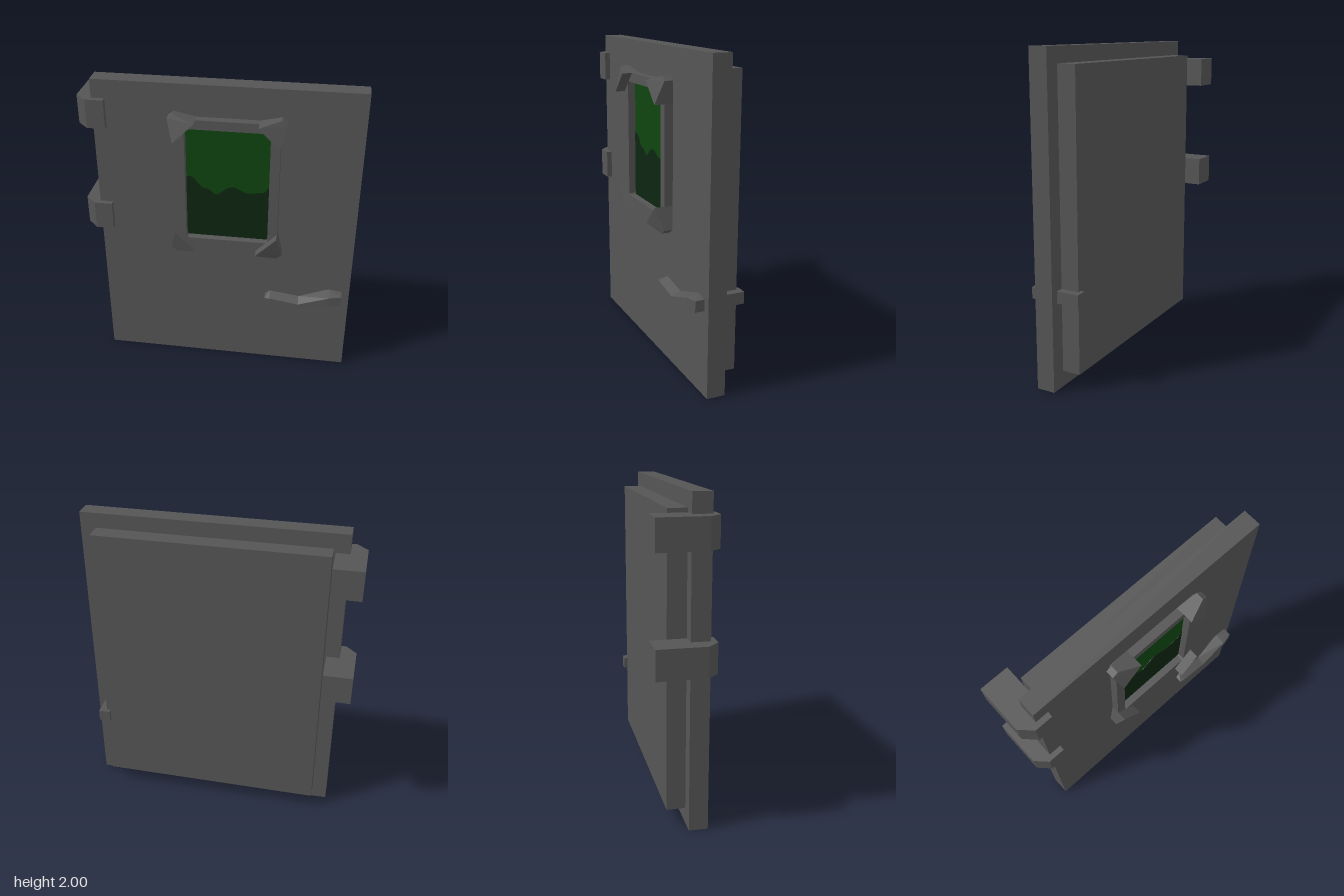
import * as THREE from 'three';
import { ConvexGeometry } from 'three/addons/geometries/ConvexGeometry.js';

export function createModel() {
  const model = new THREE.Group();
  model.name = 'door';
  const metal = new THREE.MeshStandardMaterial({ color: 0x555555 });
  const greenGlass = new THREE.MeshStandardMaterial({ color: 0x0f4510 });
  const darkLiquid = new THREE.MeshStandardMaterial({ color: 0x0d2510 });
  metal.name = 'greyMetal';
  greenGlass.name = 'greenGlass';
  darkLiquid.name = 'darkGreen';

  const add = (name, geometry, material = metal) => {
    const mesh = new THREE.Mesh(geometry, material);
    mesh.name = name;
    model.add(mesh);
    return mesh;
  };
  // Box given by its limits on each axis
  const box = (name, x0, x1, y0, y1, z0, z1, material) =>
    add(name, new THREE.BoxGeometry(x1 - x0, y1 - y0, z1 - z0)
      .translate((x0 + x1) / 2, (y0 + y1) / 2, (z0 + z1) / 2), material);

  // Door leaf, inner panel and latch
  box('doorLeaf', -0.77, 0.87, 0, 2, -0.008, 0.109);
  box('innerPanel', -0.675, 0.772, 0.1, 1.905, -0.124, -0.008);
  box('latch', 0.745, 0.82, 0.54, 0.615, -0.15, -0.008);

  // Hinges with one chamfered front edge (profile in x, z; extruded upwards)
  const profile = [[-0.87, -0.228], [-0.687, -0.228], [-0.687, 0.143], [-0.8, 0.143], [-0.87, 0.072]];
  const hingeShape = new THREE.Shape(profile.map(([x, z]) => new THREE.Vector2(x, -z)));
  for (const [name, y] of [['lowerHinge', 0.99], ['upperHinge', 1.697]]) {
    const geo = new THREE.ExtrudeGeometry(hingeShape, { depth: 0.184, bevelEnabled: false });
    add(name, geo.rotateX(-Math.PI / 2).translate(0, y, 0));
  }

  // Window frame: four bars around the centre
  const cx = 0.06, cy = 1.36;
  const frame = new THREE.Shape([[-0.32, -0.44], [0.32, -0.44], [0.32, 0.44], [-0.32, 0.44]]
    .map(([x, y]) => new THREE.Vector2(cx + x, cy + y)));
  frame.holes.push(new THREE.Path([[-0.26, -0.38], [-0.26, 0.38], [0.26, 0.38], [0.26, -0.38]]
    .map(([x, y]) => new THREE.Vector2(cx + x, cy + y))));
  add('windowFrame', new THREE.ExtrudeGeometry(frame, { depth: 0.054, bevelEnabled: false })
    .translate(0, 0, 0.109));

  // Faceted corner guards, mirrored to the four corners
  const guard = [
    [0.19, 0.44, 0.109], [0.19, 0.44, 0.228], [0.32, 0.31, 0.109], [0.32, 0.31, 0.228],
    [0.357, 0.45, 0.127], [0.357, 0.45, 0.18], [0.322, 0.477, 0.127], [0.322, 0.477, 0.18],
  ];
  for (const sx of [-1, 1]) for (const sy of [-1, 1]) {
    add('cornerGuard', new ConvexGeometry(guard.map(([x, y, z]) =>
      new THREE.Vector3(cx + sx * x, cy + sy * y, z))));
  }

  // Glass pane and the wavy dark area in front of it
  box('windowGlass', -0.2, 0.32, 0.98, 1.74, 0.109, 0.114, greenGlass);
  const wave = [[0.32, 1.37], [0.29, 1.325], [0.25, 1.315], [0.18, 1.308], [0.1, 1.342], [0.05, 1.33],
    [-0.01, 1.285], [-0.06, 1.318], [-0.11, 1.335], [-0.16, 1.395], [-0.2, 1.4]]
    .map(([x, y]) => new THREE.Vector2(x, y));
  const liquid = new THREE.Shape();
  liquid.moveTo(-0.2, 0.98);
  liquid.lineTo(0.32, 0.98);
  liquid.lineTo(0.32, 1.37);
  liquid.splineThru(wave.slice(1));
  add('windowLiquid', new THREE.ExtrudeGeometry(liquid, { depth: 0.003, bevelEnabled: false, curveSegments: 30 })
    .translate(0, 0, 0.114), darkLiquid);

  // Bent lever handle: one convex piece between each pair of sections
  // Each section: x, bottom, top, front top, back z, front z
  const sections = [
    [0.318, 0.55, 0.568, 0.56, 0.135, 0.18],
    [0.35, 0.536, 0.588, 0.562, 0.13, 0.186],
    [0.54, 0.505, 0.562, 0.535, 0.13, 0.188],
    [0.74, 0.54, 0.623, 0.605, 0.105, 0.185],
    [0.82, 0.54, 0.612, 0.61, 0.105, 0.168],
  ];
  const corners = ([x, y0, y1, yf, z0, z1]) => [[y0, z0], [y1, z0], [y0, z1], [yf, z1]]
    .map(([y, z]) => new THREE.Vector3(x, y, z));
  for (let i = 0; i < sections.length - 1; i++) {
    add('handle', new ConvexGeometry([...corners(sections[i]), ...corners(sections[i + 1])]));
  }
  return model;
}
